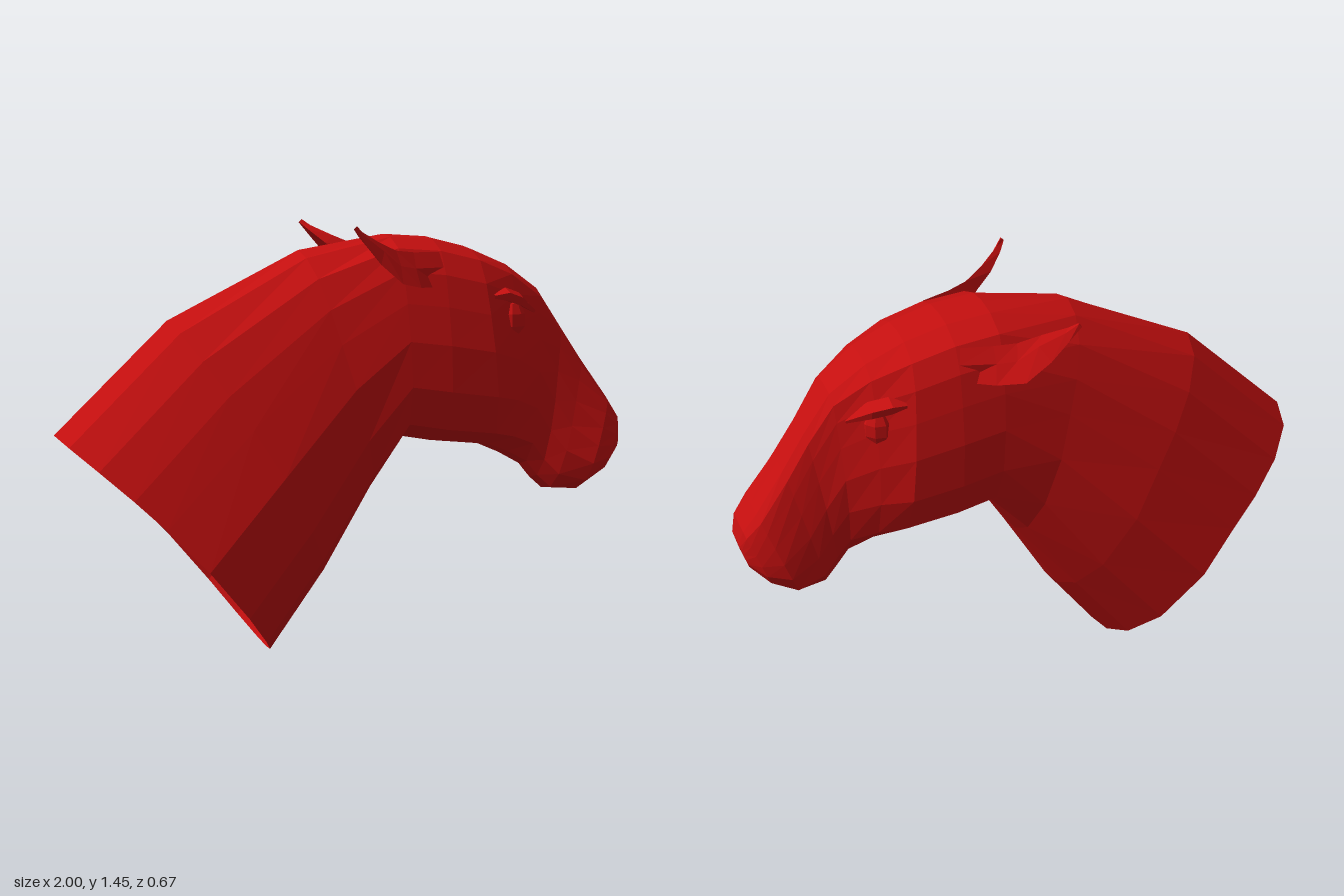
import * as THREE from 'three';

const red = new THREE.MeshStandardMaterial({ color: 0xc40f0f, flatShading: true, side: THREE.DoubleSide });
red.name = 'red';

// Skin between closed loops of points
function loft(rings) {
  const n = rings[0].length, index = [];
  for (let i = 0; i < rings.length - 1; i++) {
    for (let j = 0; j < n; j++) {
      const a = i * n + j, b = i * n + (j + 1) % n;
      index.push(a, b, a + n, b, b + n, a + n);
    }
  }
  const geo = new THREE.BufferGeometry();
  geo.setAttribute('position', new THREE.Float32BufferAttribute(rings.flat(2), 3));
  geo.setIndex(index);
  geo.computeVertexNormals();
  return geo;
}

// Half outlines from crest to underside: t = position down the ring, w = relative half width
const neck = {
  t: [0, .04, .14, .27, .40, .58, .79, .92, .98, 1],
  w: [0, .33, .60, .78, .88, 1, .88, .60, .30, 0],
};
const skull = {
  t: [0, .01, .06, .17, .32, .50, .72, .91, .98, 1],
  w: [0, .30, .64, .82, .92, 1, 1, .80, .45, 0],
};
const face = {
  t: [0, .01, .05, .14, .28, .46, .66, .86, .97, 1],
  w: [0, .42, .68, .78, .88, 1, .97, .80, .45, 0],
};
const muzzle = {
  t: [0, .01, .06, .17, .32, .50, .68, .86, .97, 1],
  w: [0, .42, .64, .75, .86, .96, 1, .88, .55, 0],
};

function mix(p, q, k) {
  const blend = key => p[key].map((v, i) => v + (q[key][i] - v) * k);
  return { t: blend('t'), w: blend('w') };
}

// One mirrored ring between a top and a bottom point; bow curves it along the neck
function ring([tx, ty, bx, by, half, profile, bow = 0]) {
  const len = Math.hypot(bx - tx, by - ty) || 1;
  const nx = -(by - ty) / len, ny = (bx - tx) / len;
  const side = profile.t.map((t, i) => {
    const o = bow * Math.sin(Math.PI * t);
    return [tx + (bx - tx) * t + nx * o, ty + (by - ty) * t + ny * o, half * profile.w[i]];
  });
  const other = side.slice(1, -1).reverse().map(([x, y, z]) => [x, y, -z]);
  return [...side, ...other];
}

function addMesh(parent, geo, name) {
  const mesh = new THREE.Mesh(geo, red);
  mesh.name = name;
  parent.add(mesh);
  return mesh;
}

export function createModel() {
  const model = new THREE.Group();
  model.name = 'horseHead';

  // Open-ended neck running into the skull and muzzle
  const sections = [
    [-1, .765, -.29, 0, .335, neck, .04],
    [-.62, 1.13, -.10, .26, .308, neck, .02],
    [-.17, 1.355, .06, .54, .255, mix(neck, skull, .4)],
    [.13, 1.405, .165, .715, .245, skull],
    [.28, 1.395, .30, .69, .25, skull],
    [.42, 1.36, .48, .67, .24, skull],
    [.55, 1.305, .56, .635, .19, mix(skull, face, .5)],
    [.67, 1.22, .64, .59, .14, face],
    [.76, 1.09, .68, .54, .125, mix(face, muzzle, .5)],
    [.84, .97, .725, .50, .135, muzzle],
    [.94, .83, .82, .495, .15, muzzle],
    [.985, .765, .91, .55, .125, muzzle],
    [1, .71, .975, .62, .075, muzzle],
    [.99, .665, .99, .665, 0, muzzle],
  ];
  addMesh(model, loft(sections.map(ring)), 'headAndNeck');

  // Ear sections: upper edge, hollow front, lower edge, back
  const earRings = [
    [[.27, 1.35, .17], [.28, 1.30, .19], [.28, 1.235, .18], [.16, 1.29, .15]],
    [[.17, 1.352, .20], [.17, 1.30, .225], [.18, 1.238, .25], [.10, 1.29, .20]],
    [[.10, 1.36, .225], [.11, 1.31, .25], [.10, 1.255, .30], [.06, 1.32, .225]],
    [[.03, 1.39, .255], [.045, 1.36, .27], [.02, 1.32, .312], [0, 1.365, .25]],
    [[-.04, 1.425, .30], [-.03, 1.41, .305], [-.035, 1.385, .32], [-.05, 1.41, .29]],
    [[-.065, 1.445, .32], [-.065, 1.445, .325], [-.075, 1.435, .328], [-.075, 1.435, .32]],
  ];

  // Brow ridge sections above the eye
  const browRings = [
    [.46, 1.20, .195], [.51, 1.205, .19], [.57, 1.185, .162], [.64, 1.14, .115],
  ].map(([x, y, z], i) => {
    const s = [.008, .022, .022, .008][i];
    return [[x, y + s, z - s], [x, y + s * .3, z + s], [x, y - s, z + s * .6], [x, y - s, z - s]];
  });

  for (const s of [1, -1]) {
    const half = new THREE.Group();
    half.name = s > 0 ? 'rightSide' : 'leftSide';
    half.name = s > 0 ? 'nearFeatures' : 'farFeatures';
    addMesh(half, loft(earRings), 'ear');
    addMesh(half, loft(browRings), 'brow');
    const eye = addMesh(half, new THREE.SphereGeometry(.062, 8, 5), 'eye');
    eye.position.set(.545, 1.115, .15);
    eye.scale.set(.8, 1.1, .65);
    eye.rotation.y = .5;
    half.scale.z = s;
    model.add(half);
  }
  return model;
}
